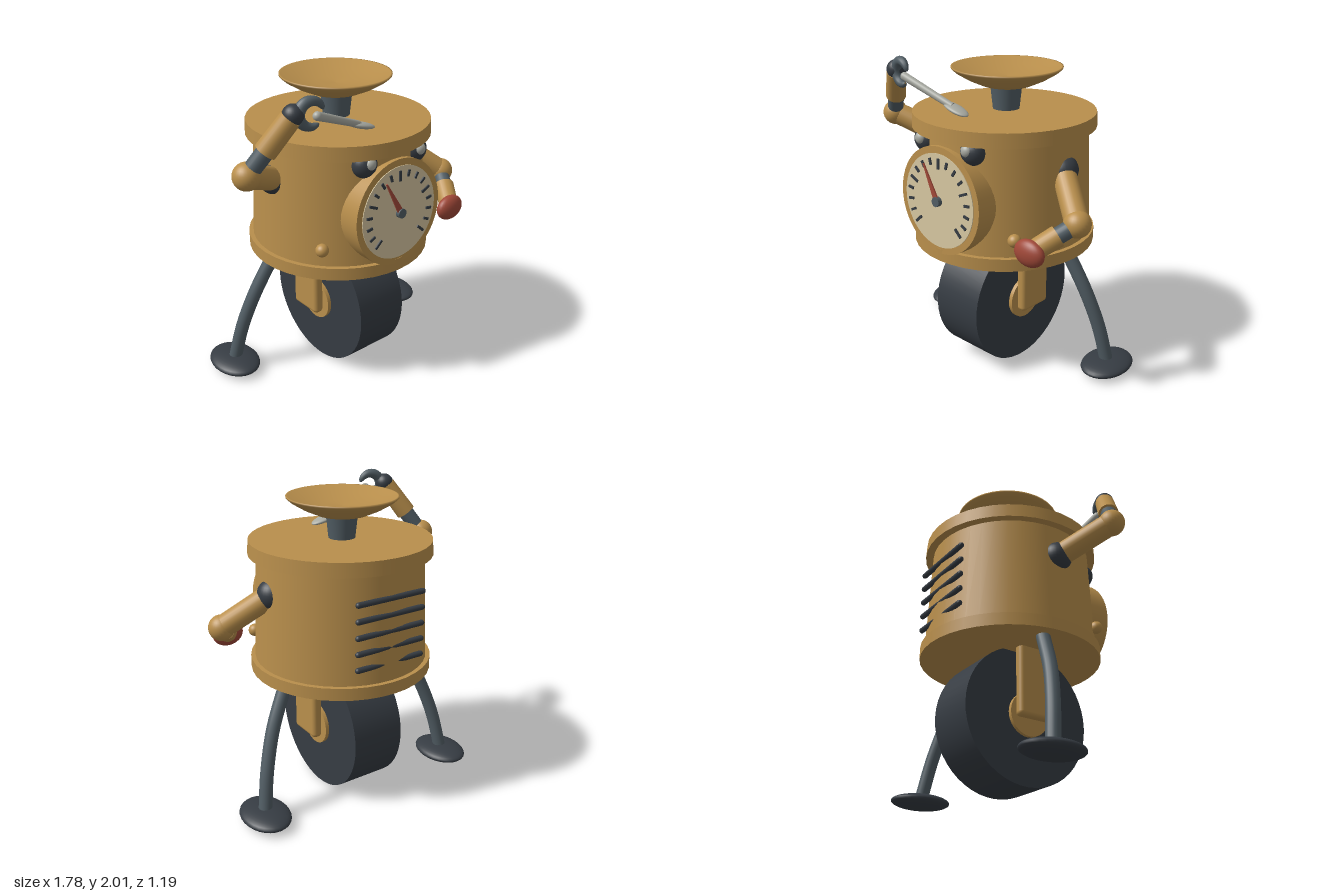
import * as THREE from 'three';
import { RoundedBoxGeometry } from 'three/addons/geometries/RoundedBoxGeometry.js';

const mat = (name, color, extra = {}) => new THREE.MeshStandardMaterial({ name, color, ...extra });
const V = (x, y, z) => new THREE.Vector3(x, y, z);

export function createModel() {
  const brass = mat('brass', 0xb98f4c);
  const steel = mat('steel', 0x515d64);
  const rubber = mat('dark rubber', 0x363c43);
  const cream = mat('dial cream', 0xd6c6a0);
  const red = mat('red', 0xa04838);
  const silver = mat('silver', 0xa8aaa2);

  const root = new THREE.Group();
  root.name = 'unicycleRobot';
  const model = new THREE.Group();
  model.name = 'robot';
  model.position.x = 0.01;
  root.add(model);

  const add = (name, geo, material, x = 0, y = 0, z = 0, parent = model) => {
    const m = new THREE.Mesh(geo, material);
    m.name = name;
    m.position.set(x, y, z);
    parent.add(m);
    return m;
  };
  // Upright cylinder between two heights
  const drum = (name, rBottom, rTop, y0, y1, material, z) =>
    add(name, new THREE.CylinderGeometry(rTop, rBottom, y1 - y0, 40), material, 0, (y0 + y1) / 2, z);
  const ball = (name, p, rx, ry, rz, material, parent = model) => {
    const m = add(name, new THREE.SphereGeometry(1, 28, 18), material, p.x, p.y, p.z, parent);
    m.scale.set(rx, ry, rz);
    return m;
  };
  // Straight limb piece between two points
  const rod = (name, a, b, ra, rb, material, parent = model) => {
    const d = b.clone().sub(a);
    const m = add(name, new THREE.CylinderGeometry(rb, ra, d.length(), 24), material, 0, 0, 0, parent);
    m.position.copy(a).add(b).multiplyScalar(0.5);
    m.quaternion.setFromUnitVectors(V(0, 1, 0), d.normalize());
    return m;
  };

  // Body drum, rims and top dish
  const cz = -0.012;
  drum('bottomRim', 0.588, 0.588, 0.85, 0.93, brass, cz);
  drum('body', 0.56, 0.53, 0.92, 1.62, brass, cz);
  drum('lid', 0.582, 0.577, 1.61, 1.7, brass, cz);
  drum('dishStem', 0.083, 0.1, 1.69, 1.85, steel, -0.028);
  const dishProfile = [[0, 1.83], [0.09, 1.832], [0.16, 1.85], [0.25, 1.89], [0.32, 1.932], [0.347, 1.955],
    [0.348, 1.965], [0.338, 1.965], [0.24, 1.93], [0.12, 1.908], [0, 1.9]].map(p => new THREE.Vector2(...p));
  add('dish', new THREE.LatheGeometry(dishProfile, 48), brass, 0, 0, -0.035);

  // Wheel, hub and fork
  const wheel = add('wheel', new THREE.CylinderGeometry(0.445, 0.445, 0.36, 48), rubber, 0, 0.445, -0.005);
  const hub = add('hub', new THREE.CylinderGeometry(0.14, 0.14, 0.41, 32), brass, 0, 0.445, -0.005);
  wheel.rotation.z = hub.rotation.z = Math.PI / 2;

  for (const s of [1, -1]) {
    const side = s > 0 ? 'left' : 'right';
    add(side + 'Fork', new RoundedBoxGeometry(0.07, 0.5, 0.24, 4, 0.028), brass, s * 0.255, 0.65, -0.01);

    // Curved support leg and foot
    const path = new THREE.CatmullRomCurve3([
      V(s * 0.42, 0.95, -0.07), V(s * 0.465, 0.85, -0.09), V(s * 0.595, 0.58, -0.14),
      V(s * 0.675, 0.33, -0.19), V(s * 0.725, 0.06, -0.235)]);
    add(side + 'Leg', new THREE.TubeGeometry(path, 24, 0.044, 16), steel);
    ball(side + 'Foot', V(s * 0.725, 0.052, -0.237), 0.153, 0.048, 0.203, rubber);

    // Eye and button
    ball(side + 'Eye', V(s * 0.2, 1.565, 0.465), 0.08, 0.08, 0.07, rubber);
    ball(side + 'Pupil', V(s * 0.197, 1.58, 0.515), 0.038, 0.038, 0.032, silver);
    ball(side + 'Button', V(s * 0.433, 1.045, 0.365), 0.041, 0.041, 0.041, brass);
  }

  // Tilted front dial
  const dial = new THREE.Group();
  dial.name = 'dial';
  dial.position.set(0, 1.237, 0.56);
  dial.rotation.x = -0.043;
  model.add(dial);
  const disc = (name, r, z0, z1, material) => {
    const m = add(name, new THREE.CylinderGeometry(r, r, z1 - z0, 48), material, 0, 0, (z0 + z1) / 2, dial);
    m.rotation.x = Math.PI / 2;
  };
  disc('dialHousing', 0.335, -0.2, 0, brass);
  disc('dialFace', 0.293, -0.002, 0.005, cream);
  disc('needleHub', 0.03, 0, 0.033, steel);
  for (let i = 0; i <= 16; i++) {
    const a = THREE.MathUtils.degToRad(-132 + i * 16.5);
    const len = i % 4 === 0 ? 0.065 : 0.042;
    const r = 0.265 - len / 2;
    const tick = add('tick', new THREE.BoxGeometry(0.016, len, 0.009), rubber, Math.sin(a) * r, Math.cos(a) * r, 0.009, dial);
    tick.rotation.z = -a;
  }
  const needleShape = new THREE.Shape([[-0.021, 0], [0.021, 0], [0.004, 0.245], [-0.004, 0.245]].map(p => new THREE.Vector2(...p)));
  const needle = add('needle', new THREE.ExtrudeGeometry(needleShape, { depth: 0.009, bevelEnabled: false }), red, 0, 0, 0.015, dial);
  needle.rotation.z = 0.5;

  // Rear vent bars
  for (let i = 0; i < 5; i++) {
    const bar = add('ventBar', new THREE.CapsuleGeometry(0.018, 0.47, 6, 12), rubber, 0, 1.04 + i * 0.102, -0.545);
    bar.rotation.z = Math.PI / 2;
  }

  // Arms: shoulder, upper arm, elbow, joint and cuff
  const arm = (side, shoulder, elbow, wrist, cuffEnd) => {
    const g = new THREE.Group();
    g.name = side + 'Arm';
    model.add(g);
    const at = t => elbow.clone().lerp(wrist, t);
    ball('shoulder', shoulder, 0.095, 0.095, 0.095, rubber, g);
    rod('upperArm', shoulder.clone().lerp(elbow, 0.1), elbow, 0.073, 0.073, brass, g);
    ball('elbow', elbow, 0.083, 0.083, 0.083, brass, g);
    rod('forearmJoint', elbow, at(0.5), 0.052, 0.052, steel, g);
    rod('forearmCuff', at(0.41), at(cuffEnd), 0.066, 0.062, brass, g);
    return g;
  };
  const leftHand = V(0.602, 1.04, 0.425);
  const leftArm = arm('left', V(0.49, 1.41, 0), V(0.753, 1.19, 0.185), leftHand, 0.92);
  ball('redFist', leftHand, 0.107, 0.084, 0.053, red, leftArm);

  const wrist = V(-0.605, 1.915, 0.345);
  const rightArm = arm('right', V(-0.51, 1.41, 0), V(-0.822, 1.57, 0.195), wrist, 0.95);
  ball('wrist', wrist, 0.062, 0.062, 0.062, rubber, rightArm);

  // Open claw: a torus arc thinned towards its tips
  const R = 0.073, arc = 5.1, ts = 36, rs = 14;
  const claw = new THREE.TorusGeometry(R, 0.034, rs, ts, arc);
  const pos = claw.attributes.position;
  for (let j = 0; j <= rs; j++) for (let i = 0; i <= ts; i++) {
    const k = j * (ts + 1) + i, u = i / ts * arc;
    const c = V(R * Math.cos(u), R * Math.sin(u), 0);
    const f = 0.15 + 0.85 * Math.sqrt(Math.max(0, Math.sin(Math.PI * i / ts)));
    const p = V().fromBufferAttribute(pos, k).sub(c).multiplyScalar(f).add(c);
    pos.setXYZ(k, p.x, p.y, p.z);
  }
  claw.computeVertexNormals();
  const clawMesh = add('claw', claw, steel, -0.51, 1.91, 0.38, rightArm);
  clawMesh.rotation.set(0, -0.24, 0.25);

  // Spoon held by the claw
  rod('spoonHandle', V(-0.475, 1.893, 0.388), V(-0.12, 1.752, 0.322), 0.026, 0.021, silver, rightArm);
  ball('spoonHandleEnd', V(-0.475, 1.893, 0.388), 0.026, 0.026, 0.026, silver, rightArm);
  const spoon = ball('spoonBowl', V(-0.095, 1.738, 0.316), 0.102, 0.02, 0.05, silver, rightArm);
  spoon.rotation.z = -0.28;

  return root;
}
